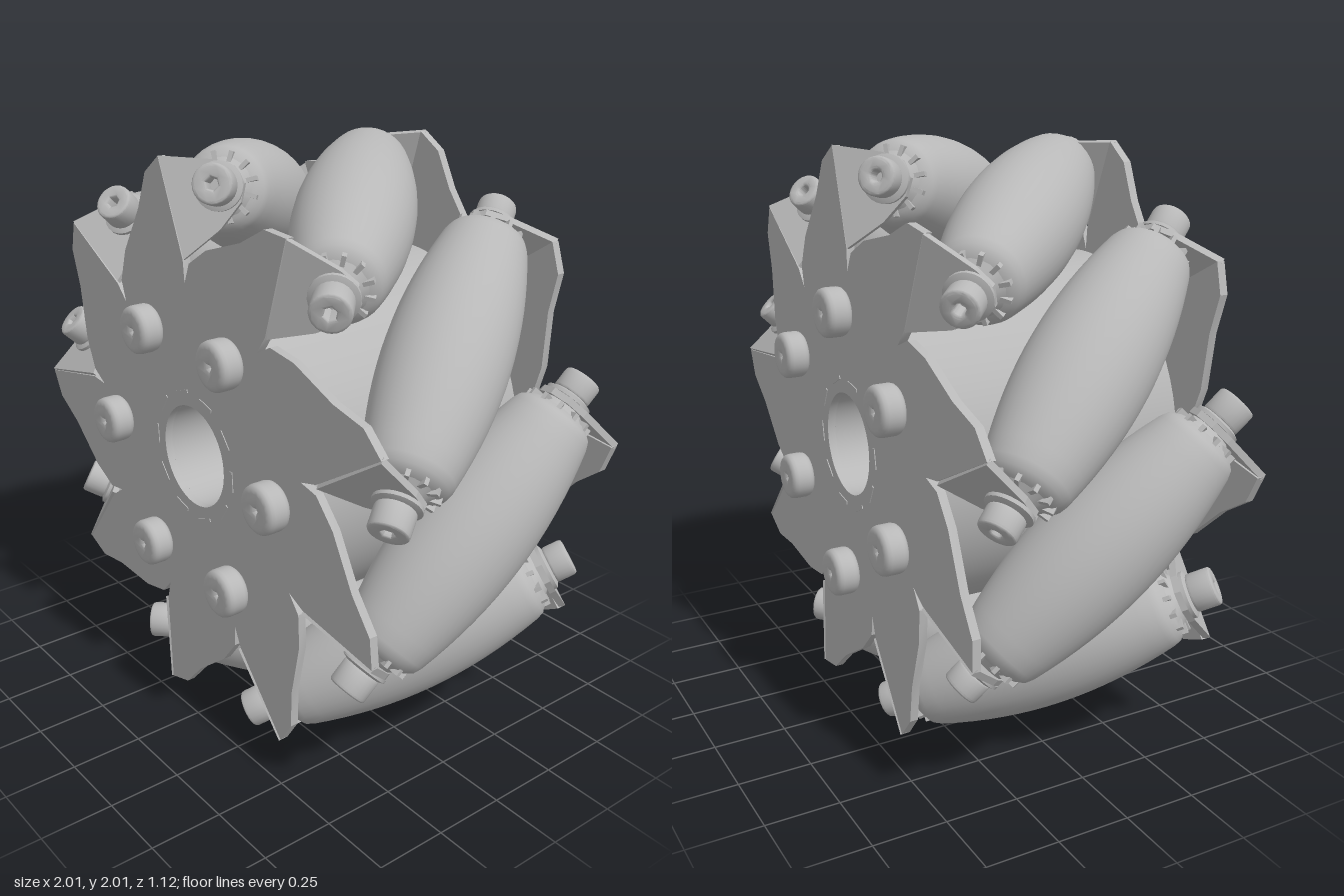
import * as THREE from 'three';
import { toCreasedNormals } from 'three/addons/utils/BufferGeometryUtils.js';

const COUNT = 9;
const STEP = (Math.PI * 2) / COUNT;
const AXIS_R = 0.81;                              // distance of roller centres from the hub
const PHASE = THREE.MathUtils.degToRad(32.6);

const metal = new THREE.MeshStandardMaterial({ color: 0xb8b8b8 });
metal.name = 'grey metal';

const v2 = (x, y) => new THREE.Vector2(x, y);

function add(parent, geometry, name, y = 0) {
  const mesh = new THREE.Mesh(geometry, metal);
  mesh.name = name;
  mesh.position.y = y;
  parent.add(mesh);
  return mesh;
}

function lathe(points, segments, crease = 0.6) {
  return toCreasedNormals(new THREE.LatheGeometry(points.map(p => v2(...p)), segments), crease);
}

function polygon(sides, radius) {
  return Array.from({ length: sides }, (_, i) => {
    const a = (i / sides) * Math.PI * 2;
    return v2(Math.cos(a) * radius, Math.sin(a) * radius);
  });
}

// Bolt head or nut standing on z = 0, with a recessed socket
function headGeometry(sides, radius, height, socketSides, socketRadius, bevel) {
  const shape = new THREE.Shape(polygon(sides, radius - bevel));
  shape.holes.push(new THREE.Path(polygon(socketSides, socketRadius).reverse()));
  const geo = new THREE.ExtrudeGeometry(shape, {
    depth: height - bevel * 2, bevelThickness: bevel, bevelSize: bevel,
    bevelSegments: 3, curveSegments: 1,
  });
  geo.translate(0, 0, bevel);
  return toCreasedNormals(geo, 0.55);
}

// Barrel whose outer edge follows the wheel's rolling circle
function rollerGeometry() {
  const pts = [[0, -0.475], [0.07, -0.475], [0.105, -0.465], [0.13, -0.445]];
  for (let i = 0; i <= 16; i++) {
    const t = -0.42 + (0.84 * i) / 16;
    pts.push([(0.998 - Math.hypot(AXIS_R, t * Math.SQRT1_2)) * 1.04, t]);
  }
  pts.push([0.13, 0.445], [0.105, 0.465], [0.07, 0.475], [0, 0.475]);
  return lathe(pts, 36, 0.9);
}

// Bent tab that carries one end of a roller, square to the roller's axis
function flangeGeometry() {
  const outline = [[0.62, 0.165], [0.68, 0.03], [0.745, -0.055], [0.8, -0.08],
    [0.86, -0.06], [0.895, 0], [0.95, 0.165]];
  const shape = new THREE.Shape(outline.map(([v, s]) => v2(v - AXIS_R, s)));
  const geo = new THREE.ExtrudeGeometry(shape, { depth: 0.022, bevelEnabled: false });
  geo.rotateX(-Math.PI / 2);
  return geo;
}

// Saw-toothed side plate with a centre hole
function plateGeometry() {
  const tooth = [[0.55, -0.212], [0.62, -0.235], [0.95, -0.24], [0.925, -0.14],
    [0.83, -0.045], [0.72, 0.11], [0.632, 0.185]];
  const points = [];
  for (let k = 0; k < COUNT; k++) {
    for (const [v, u] of tooth) points.push(v2(v, u).rotateAround(v2(0, 0), k * STEP));
  }
  const shape = new THREE.Shape(points);
  shape.holes.push(new THREE.Path(polygon(48, 0.175).reverse()));
  const geo = new THREE.ExtrudeGeometry(shape, { depth: 0.028, bevelEnabled: false });
  geo.translate(0, 0, 0.449);
  return toCreasedNormals(geo, 0.4);
}

export function createModel() {
  const model = new THREE.Group();
  model.name = 'rollerWheel';
  const centre = new THREE.Group();
  centre.name = 'wheel';
  centre.position.y = 1;
  model.add(centre);
  const wheel = new THREE.Group();
  wheel.name = 'rollerAssembly';
  wheel.rotation.z = PHASE;
  centre.add(wheel);

  // Hub drum with a through bore
  const drum = lathe([[0.175, -0.45], [0.58, -0.45], [0.58, 0.45], [0.175, 0.45], [0.175, -0.45]], 64);
  drum.rotateX(Math.PI / 2);
  add(wheel, drum, 'hubDrum');

  // Side plates, the rear one turned half round
  const plate = plateGeometry();
  const tick = new THREE.BoxGeometry(0.012, 0.07, 0.006);
  for (const turn of [0, Math.PI]) {
    const side = new THREE.Group();
    side.name = turn ? 'rearSide' : 'frontSide';
    side.rotation.x = turn;
    wheel.add(side);
    add(side, plate, 'sidePlate');
    for (let i = 0; i < 10; i++) {
      const a = (i / 10) * Math.PI * 2;
      const m = add(side, tick, 'boreMark');
      m.position.set(Math.cos(a) * 0.22, Math.sin(a) * 0.22, 0.477);
      m.rotation.z = a + 0.1;
    }
  }

  // Shared roller parts
  const roller = rollerGeometry();
  const flange = flangeGeometry();
  const shaft = new THREE.CylinderGeometry(0.045, 0.045, 1.1, 20);
  const washer = lathe([[0, 0], [0.078, 0], [0.078, 0.012], [0.055, 0.022], [0, 0.022]], 24);
  const collar = lathe([[0, 0], [0.095, 0], [0.06, 0.03], [0, 0.03]], 20);
  const fin = new THREE.BoxGeometry(0.05, 0.03, 0.014);
  const screwHead = headGeometry(24, 0.064, 0.085, 6, 0.032, 0.01).rotateX(-Math.PI / 2);
  const nut = headGeometry(24, 0.062, 0.075, 20, 0.03, 0.012).rotateX(-Math.PI / 2);

  for (let k = 0; k < COUNT; k++) {
    const spoke = new THREE.Group();
    spoke.name = 'rollerStation';
    spoke.rotation.z = k * STEP;
    wheel.add(spoke);
    const tilted = new THREE.Group();
    tilted.name = 'roller';
    tilted.position.x = AXIS_R;
    tilted.rotation.x = Math.PI * 0.75;
    spoke.add(tilted);
    add(tilted, roller, 'rollerBarrel');
    add(tilted, shaft, 'rollerShaft');

    // Matching mounts at the two ends
    for (const turn of [0, Math.PI]) {
      const end = new THREE.Group();
      end.name = turn ? 'rearMount' : 'frontMount';
      end.rotation.x = turn;
      tilted.add(end);
      add(end, flange, 'bentTab', 0.492);
      add(end, collar, 'collar', 0.468);
      add(end, washer, 'washer', 0.514);
      add(end, turn ? nut : screwHead, turn ? 'nut' : 'screwHead', 0.53);
      for (let i = 0; i < 12; i++) {
        const a = (i / 12) * Math.PI * 2;
        const m = add(end, fin, 'endRib', 0.465);
        m.position.x = Math.cos(a) * 0.09;
        m.position.z = Math.sin(a) * 0.09;
        m.rotation.y = -a;
      }
    }
  }

  // Six hub bolts on each side, the rear set offset by half a step
  const hubHead = headGeometry(32, 0.082, 0.085, 5, 0.03, 0.022);
  const socketFloor = new THREE.CircleGeometry(0.06, 24);
  for (const rear of [0, 1]) {
    for (let i = 0; i < 6; i++) {
      const a = ((i + rear / 2) / 6) * Math.PI * 2;
      const bolt = new THREE.Group();
      bolt.name = rear ? 'rearHubBolt' : 'frontHubBolt';
      bolt.position.set(Math.cos(a) * 0.455, Math.sin(a) * 0.455, rear ? -0.475 : 0.475);
      bolt.rotation.y = rear * Math.PI;
      centre.add(bolt);
      add(bolt, hubHead, 'boltHead');
      add(bolt, socketFloor, 'socketFloor').position.z = 0.03;
    }
  }
  return model;
}
